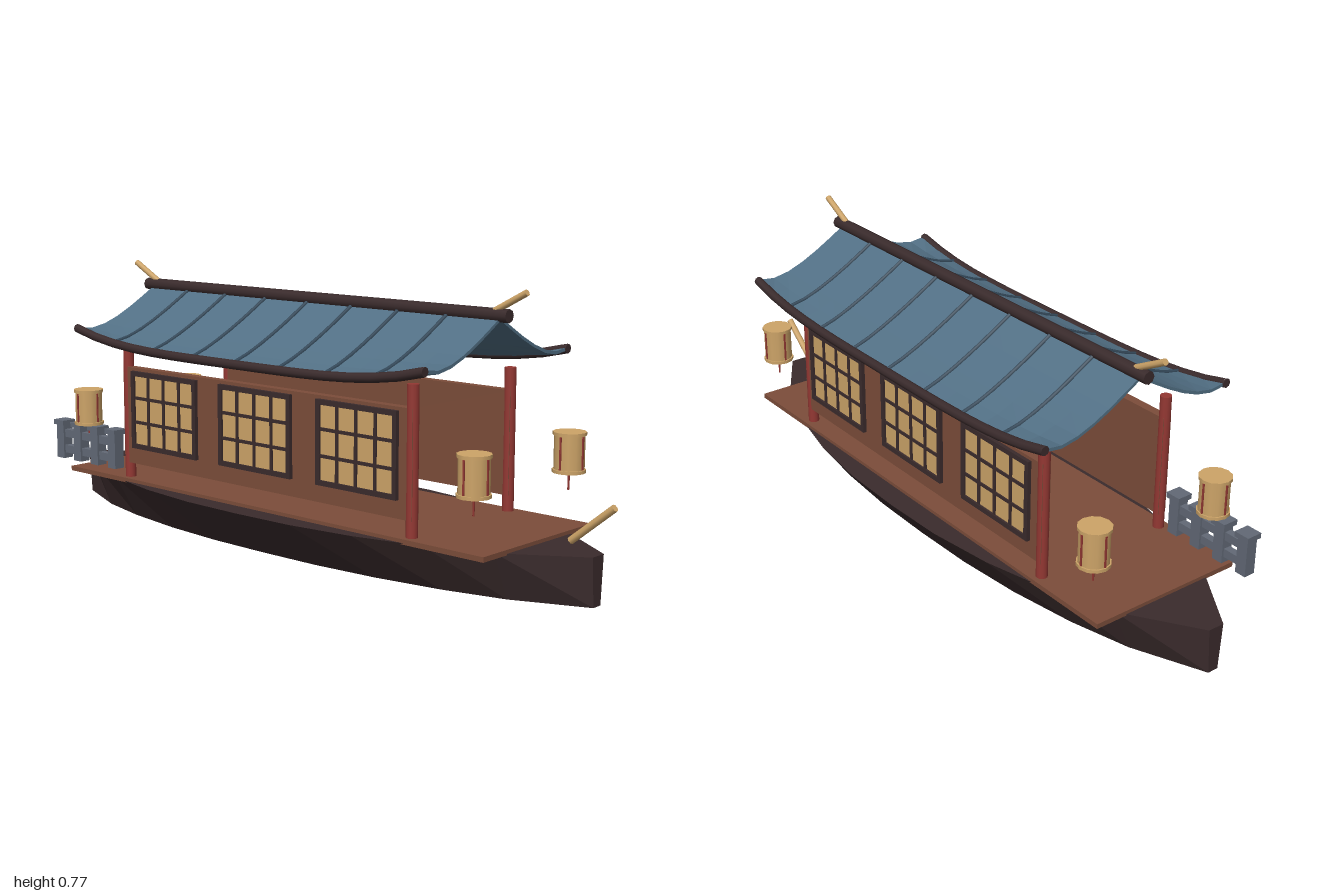
import * as THREE from 'three';

const mat = (name, color, extra = {}) => {
  const m = new THREE.MeshStandardMaterial({ color, ...extra });
  m.name = name;
  return m;
};

// Lofts closed rings along +x; each ring lists its top points from -z to +z, then its bottom points back
function loft(rings) {
  const pos = [];
  const m = rings[0].length;
  const quad = (a, b, c, d) => [a, b, c, a, c, d].forEach((p) => pos.push(...p));
  for (let i = 0; i < rings.length - 1; i++) {
    for (let j = 0; j < m; j++) {
      const k = (j + 1) % m;
      quad(rings[i][j], rings[i][k], rings[i + 1][k], rings[i + 1][j]);
    }
  }
  const s = rings[0], e = rings[rings.length - 1];
  for (let j = 0; j < m / 2 - 1; j++) {
    quad(e[j], e[j + 1], e[m - 2 - j], e[m - 1 - j]);
    quad(s[m - 1 - j], s[m - 2 - j], s[j + 1], s[j]);
  }
  const g = new THREE.BufferGeometry();
  g.setAttribute('position', new THREE.Float32BufferAttribute(pos, 3));
  g.computeVertexNormals();
  return g;
}

export function createModel() {
  const darkWood = mat('dark wood', 0x3a2b2c);
  const wood = mat('brown wood', 0x7c4d3a);
  const red = mat('red lacquer', 0x943833);
  const paper = mat('tan paper', 0xcda468);
  const roofBlue = mat('roof blue', 0x527085);
  const ribBlue = mat('dark roof blue', 0x34495a);
  const stone = mat('grey stone', 0x626976);

  const root = new THREE.Group();
  root.name = 'pleasureBoat';
  const boat = new THREE.Group();
  boat.name = 'boat';
  boat.position.x = -0.025;
  root.add(boat);

  const add = (parent, name, geo, material, x = 0, y = 0, z = 0) => {
    const mesh = new THREE.Mesh(geo, material);
    mesh.name = name;
    mesh.position.set(x, y, z);
    parent.add(mesh);
    return mesh;
  };
  const box = (parent, name, material, w, h, d, x, y, z) =>
    add(parent, name, new THREE.BoxGeometry(w, h, d), material, x, y, z);
  const cyl = (parent, name, material, r, h, x, y, z, sides = 12) =>
    add(parent, name, new THREE.CylinderGeometry(r, r, h, sides), material, x, y, z);
  // Round bar between two points
  const bar = (parent, name, material, a, b, r, sides = 8) => {
    const p = new THREE.Vector3(...a), q = new THREE.Vector3(...b);
    const mid = p.clone().add(q).multiplyScalar(0.5);
    const mesh = cyl(parent, name, material, r, p.distanceTo(q), mid.x, mid.y, mid.z, sides);
    mesh.quaternion.setFromUnitVectors(new THREE.Vector3(0, 1, 0), q.sub(p).normalize());
    return mesh;
  };

  // Hull: half-widths at stations from midship to the ends
  const half = [[0, 0.3], [0.2, 0.295], [0.4, 0.27], [0.6, 0.222], [0.775, 0.155], [0.975, 0.024]];
  const stations = [...half.slice(1).reverse().map(([x, w]) => [-x, w]), ...half];
  add(boat, 'hull', loft(stations.map(([x, w]) => [
    [x, 0.13, -w], [x, 0.13, w], [x, 0, w * 0.65], [x, 0, -w * 0.65],
  ])), darkWood);
  box(boat, 'deck', wood, 1.6, 0.014, 0.47, 0, 0.133, 0);

  // Cabin sides with lattice windows
  for (const s of [1, -1]) {
    const side = new THREE.Group();
    side.name = s > 0 ? 'frontCabinSide' : 'backCabinSide';
    boat.add(side);
    box(side, 'wall', wood, 1.12, 0.29, 0.026, 0, 0.33, s * 0.205);
    for (const x of [-0.55, 0.55]) cyl(side, 'post', red, 0.016, 0.4, x, 0.336, s * 0.205);
    for (const wx of [-0.375, 0, 0.375]) {
      box(side, 'windowPaper', paper, 0.27, 0.22, 0.006, wx, 0.35, s * 0.22);
      for (let i = 0; i < 5; i++) {
        const edge = i % 4 === 0;
        box(side, 'windowUpright', darkWood, edge ? 0.014 : 0.009, 0.23, edge ? 0.014 : 0.01,
          wx + (i - 2) * 0.0665, 0.35, s * 0.222);
      }
      for (let i = 0; i < 4; i++) {
        const edge = i % 3 === 0;
        box(side, 'windowCrossbar', darkWood, 0.28, edge ? 0.014 : 0.009, edge ? 0.014 : 0.01,
          wx, 0.35 + (i - 1.5) * 0.0725, s * 0.222);
      }
    }
  }

  // Roof: sagging slopes whose eaves sweep up at both ends
  const L = 0.665;
  const slope = [0.692, 0.662, 0.633, 0.606, 0.581, 0.559, 0.542];
  const roofY = (x, i) => slope[i] + 0.045 * Math.abs(x / L) ** 4 * (i / 6) ** 4;
  const roofLine = (x, dy) => {
    const pts = [];
    for (let i = -6; i <= 6; i++) pts.push([x, roofY(x, Math.abs(i)) + dy, i * 0.05]);
    return pts;
  };
  const roofRings = [];
  for (let i = 0; i <= 16; i++) {
    const x = -L + (i * L) / 8;
    roofRings.push([...roofLine(x, 0.004), ...roofLine(x, -0.005).reverse()]);
  }
  add(boat, 'roof', loft(roofRings), roofBlue);
  const tube = (name, pts, r, material) => {
    const curve = new THREE.CatmullRomCurve3(pts.map((p) => new THREE.Vector3(...p)));
    add(boat, name, new THREE.TubeGeometry(curve, 16, r, 8), material);
    // closed ends
    for (const p of [pts[0], pts[pts.length - 1]]) {
      const cap = cyl(boat, name + 'End', material, r, 0.004, ...p, 8);
      cap.rotation.z = Math.PI / 2;
    }
  };
  for (const s of [1, -1]) {
    // ribs over each slope
    for (let k = -3; k <= 3; k++) {
      const x = (k * L) / 4;
      const pts = slope.map((_, i) => new THREE.Vector3(x, roofY(x, i) + 0.004, s * i * 0.05));
      add(boat, 'roofRib', new THREE.TubeGeometry(new THREE.CatmullRomCurve3(pts), 12, 0.006, 6), ribBlue);
    }
    const eave = [];
    for (let i = 0; i <= 16; i++) {
      const x = -L + (i * L) / 8;
      eave.push([x, roofY(x, 6), s * 0.303]);
    }
    tube('eaveBeam', eave, 0.013, darkWood);
    // finials rising from the ridge ends
    bar(boat, 'ridgeFinial', paper, [s * 0.645, 0.71, 0], [s * 0.745, 0.763, 0], 0.009);
  }
  bar(boat, 'ridgeBeam', darkWood, [-0.692, 0.7, 0], [0.692, 0.7, 0], 0.018);

  // Lanterns at the deck corners
  for (const x of [-0.745, 0.745]) {
    for (const z of [-0.205, 0.205]) {
      const lantern = new THREE.Group();
      lantern.name = 'lantern';
      lantern.position.set(x, 0.33, z);
      boat.add(lantern);
      cyl(lantern, 'lanternBody', paper, 0.041, 0.1, 0, 0, 0);
      for (const y of [-0.05, 0.05]) cyl(lantern, 'lanternRim', paper, 0.045, 0.009, 0, y, 0);
      for (let i = 0; i < 4; i++) {
        const a = (i * Math.PI) / 2;
        box(lantern, 'lanternStrip', red, 0.005, 0.088, 0.005, Math.cos(a) * 0.041, 0, Math.sin(a) * 0.041);
      }
      cyl(lantern, 'lanternTassel', red, 0.003, 0.05, 0, -0.077, 0, 6);
    }
  }

  // Stone railing beside the stern
  const fence = new THREE.Group();
  fence.name = 'railing';
  fence.position.set(-0.745, 0, 0.205);
  boat.add(fence);
  for (let i = 0; i < 4; i++) {
    const x = (i - 1.5) * 0.083;
    box(fence, 'railingPost', stone, 0.034, 0.11, 0.034, x, 0.21, 0);
    box(fence, 'railingCap', stone, 0.047, 0.015, 0.047, x, 0.268, 0);
  }
  for (const y of [0.185, 0.235]) box(fence, 'rail', stone, 0.26, 0.024, 0.022, 0, y, 0);

  // Slanted pole at the bow
  bar(boat, 'bowPole', paper, [0.893, 0.154, 0], [1.018, 0.257, 0], 0.01);

  return root;
}
